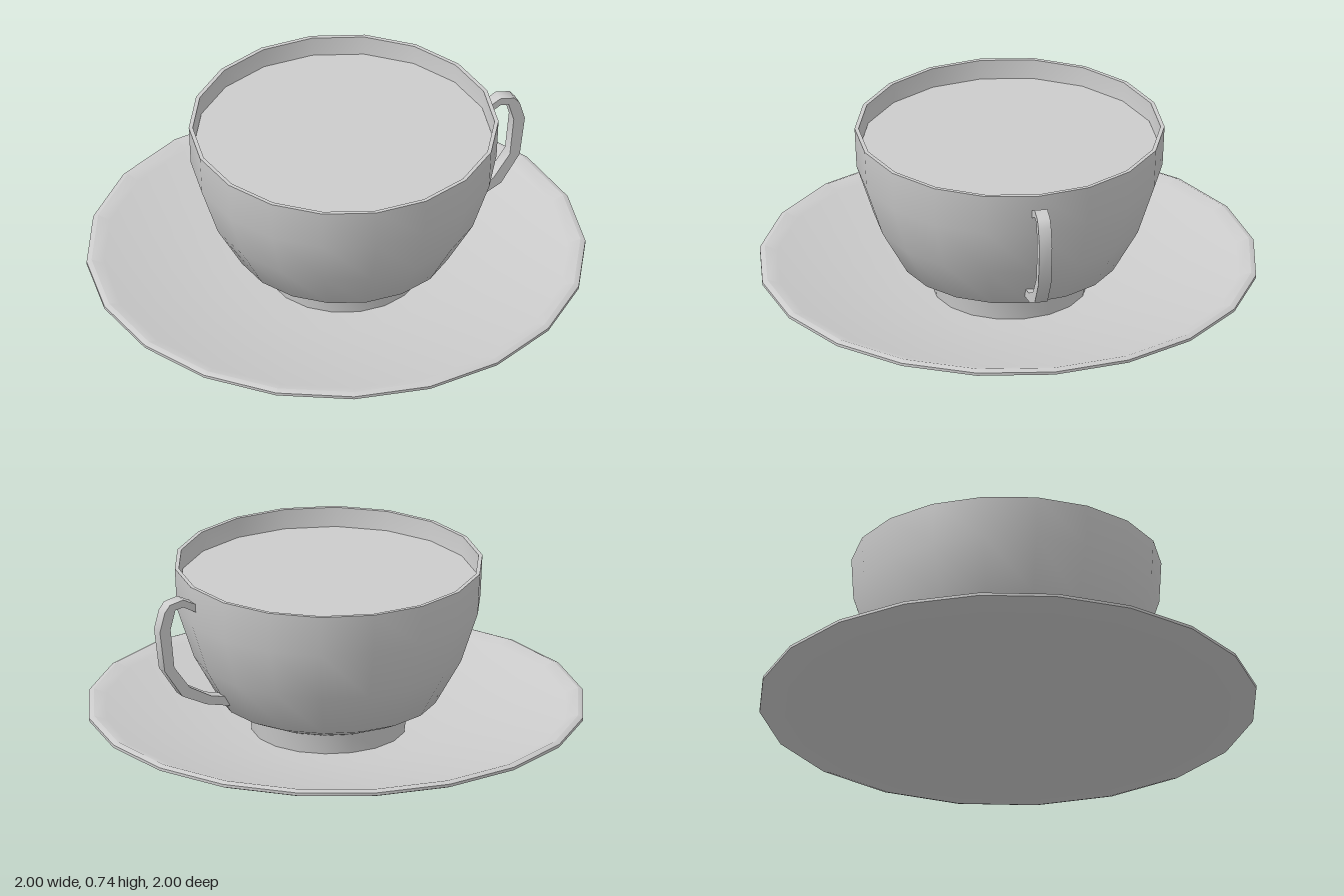
import * as THREE from 'three';
import { toCreasedNormals } from 'three/addons/utils/BufferGeometryUtils.js';

const CUP_X = 0.033; // the cup sits slightly towards its handle
const material = new THREE.MeshStandardMaterial({ color: 0xcccccc });
const points = (list) => list.map(([x, y]) => new THREE.Vector2(x, y));

function addMesh(group, name, geometry, crease = 0.75) {
  const mesh = new THREE.Mesh(toCreasedNormals(geometry, crease), material);
  mesh.name = name;
  group.add(mesh);
  return mesh;
}

// Turned part with a corner on the x axis
const turned = (profile, sides) =>
  new THREE.LatheGeometry(points(profile), sides, Math.PI / 2);

export function createModel() {
  const model = new THREE.Group();
  model.name = 'cupAndSaucer';

  // Saucer: underside, rounded rim, then the shallow dish
  addMesh(model, 'saucer', turned([
    [0, 0.004], [0.38, 0.004], [0.42, 0], [0.97, 0.1], [1, 0.113],
    [1, 0.125], [0.98, 0.134], [0.93, 0.117], [0.42, 0.035], [0, 0.035],
  ], 20));

  // Cup: foot, outer bowl, thin rim, inner bowl
  const cup = addMesh(model, 'cup', turned([
    [0, 0.036], [0.31, 0.036], [0.32, 0.118], [0.358, 0.134], [0.438, 0.172],
    [0.543, 0.36], [0.612, 0.57], [0.62, 0.74],
    [0.604, 0.74], [0.594, 0.57], [0.522, 0.365], [0.42, 0.19], [0.32, 0.15], [0, 0.15],
  ], 18));
  cup.position.x = CUP_X;

  // Drink: flat surface just below the rim
  const drink = addMesh(model, 'drink',
    new THREE.CircleGeometry(0.598, 18).rotateX(-Math.PI / 2));
  drink.position.set(CUP_X, 0.66, 0);

  // Handle: flat band, outer edge down and inner edge back up
  const band = new THREE.Shape(points([
    [0.64, 0.672], [0.7, 0.703], [0.76, 0.69], [0.783, 0.66], [0.805, 0.58],
    [0.783, 0.41], [0.703, 0.29], [0.597, 0.238], [0.48, 0.21],
    [0.505, 0.254], [0.575, 0.27], [0.67, 0.323], [0.74, 0.42],
    [0.757, 0.585], [0.735, 0.665], [0.7, 0.671], [0.64, 0.638],
  ]));
  const handle = new THREE.ExtrudeGeometry(band, { depth: 0.052, bevelEnabled: false });
  addMesh(model, 'handle', handle.translate(0, 0, -0.026));

  return model;
}
